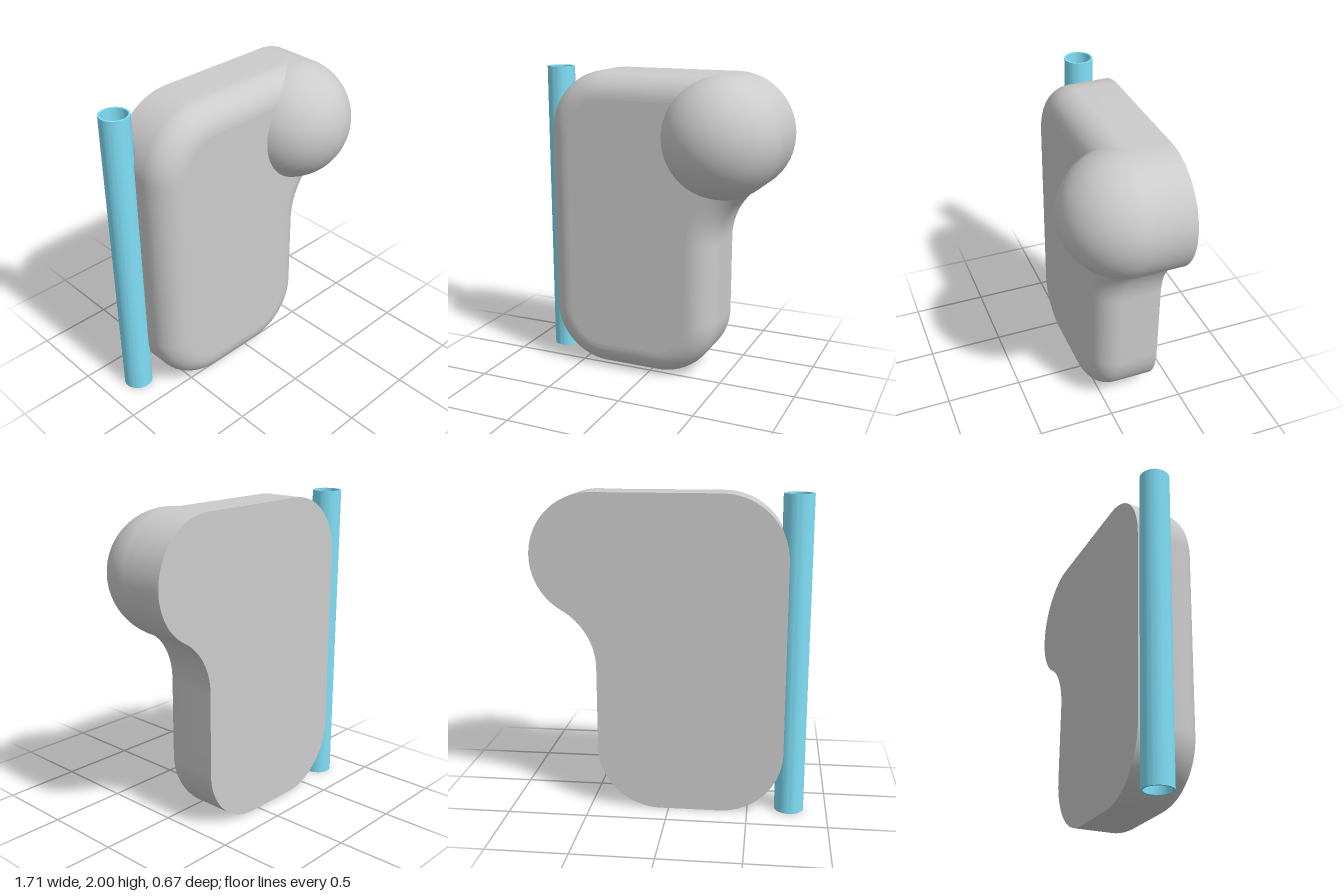
import * as THREE from 'three';
import { mergeGeometries, toCreasedNormals } from 'three/addons/utils/BufferGeometryUtils.js';

const BACK = -0.335, FRONT = 0.09, FILLET = 0.17;
const TUBE = { x: -0.765, z: -0.2425, r: 0.0925, inner: 0.08 };
const KNOB = { x: 0.467, y: 1.615, z: -0.05, r: 0.385 };

// Body outline, counterclockwise, moved inward by d
function outline(d) {
  const neckR = 0.42, neckX = 0.45 + neckR;
  const neckY = KNOB.y - Math.sqrt((KNOB.r + neckR) ** 2 - (neckX - KNOB.x) ** 2);
  const a = Math.atan2(KNOB.y - neckY, KNOB.x - neckX);
  const P = Math.PI, pts = [];
  const arc = (cx, cy, r, a0, a1, n = 24) => {
    for (let i = 0; i <= n; i++) {
      const t = a0 + (a1 - a0) * i / n;
      pts.push(new THREE.Vector2(cx + r * Math.cos(t), cy + r * Math.sin(t)));
    }
  };
  arc(0.05, 0.4, 0.4 - d, -P / 2, 0);
  arc(neckX, neckY, neckR + d, P, a);
  arc(KNOB.x, KNOB.y, KNOB.r - d, a - P, P / 2, 36);
  arc(-0.32, 1.6, 0.4 - d, P / 2, P);
  arc(-0.32, 0.4, 0.4 - d, P, 1.5 * P);
  return pts;
}

// Flat cap over an outline
function cap(d, z, flip) {
  const g = new THREE.ShapeGeometry(new THREE.Shape(outline(d)));
  if (flip) g.index.array.reverse();
  g.translate(0, 0, z);
  const flat = g.toNonIndexed();
  flat.computeVertexNormals();
  flat.deleteAttribute('uv');
  return flat;
}

function bodyGeometry() {
  // Layers from back to front: groove for the tube, then the rounded front edge
  const layers = [];
  for (let k = 0; k <= 16; k++) {
    const t = Math.PI * k / 16;
    layers.push({ z: TUBE.z - TUBE.r * Math.cos(t), d: 0, minX: TUBE.x + TUBE.r * Math.sin(t) });
  }
  for (let k = 0; k <= 12; k++) {
    const t = Math.PI / 2 * k / 12;
    layers.push({ z: FRONT - FILLET * (1 - Math.sin(t)), d: FILLET * (1 - Math.cos(t)), minX: -1 });
  }
  const pos = [], index = [], n = outline(0).length;
  layers.forEach(({ z, d, minX }, j) => {
    outline(d).forEach((p, i) => {
      pos.push(Math.max(p.x, minX), p.y, z);
      if (j === layers.length - 1) return;
      const a = j * n + i, b = j * n + (i + 1) % n;
      index.push(a, b, b + n, a, b + n, a + n);
    });
  });
  const side = new THREE.BufferGeometry();
  side.setAttribute('position', new THREE.Float32BufferAttribute(pos, 3));
  side.setIndex(index);
  return mergeGeometries([toCreasedNormals(side, 0.6), cap(0, BACK, true), cap(FILLET, FRONT, false)]);
}

export function createModel() {
  const model = new THREE.Group();
  const grey = new THREE.MeshStandardMaterial({ color: 0xcccccc });
  const blue = new THREE.MeshStandardMaterial({ color: 0x80e0f8 });
  const add = (name, geometry, material) => {
    const mesh = new THREE.Mesh(geometry, material);
    mesh.name = name;
    model.add(mesh);
    return mesh;
  };

  add('body', bodyGeometry(), grey);

  // Domed knob: short straight collar running into a hemisphere
  const profile = [new THREE.Vector2(KNOB.r, FRONT - FILLET - KNOB.z)];
  for (let i = 0; i <= 32; i++) {
    const t = Math.PI / 2 * i / 32;
    profile.push(new THREE.Vector2(KNOB.r * Math.cos(t), KNOB.r * Math.sin(t)));
  }
  const knob = add('knob', new THREE.LatheGeometry(profile, 64), grey);
  knob.rotation.x = Math.PI / 2;
  knob.position.set(KNOB.x, KNOB.y, KNOB.z);

  // Hollow tube along the side
  const ring = new THREE.Shape().absarc(0, 0, TUBE.r, 0, Math.PI * 2);
  ring.holes.push(new THREE.Path().absarc(0, 0, TUBE.inner, 0, Math.PI * 2, true));
  const tubeGeometry = new THREE.ExtrudeGeometry(ring, { depth: 2, bevelEnabled: false, curveSegments: 32 });
  const tube = add('tube', toCreasedNormals(tubeGeometry, 0.6), blue);
  tube.rotation.x = -Math.PI / 2;
  tube.position.set(TUBE.x, 0, TUBE.z);

  // Small block held inside the tube
  const block = add('tubeInsert', new THREE.BoxGeometry(0.07, 0.09, 0.09), grey);
  block.position.set(-0.765, 1, -0.255);

  return model;
}
